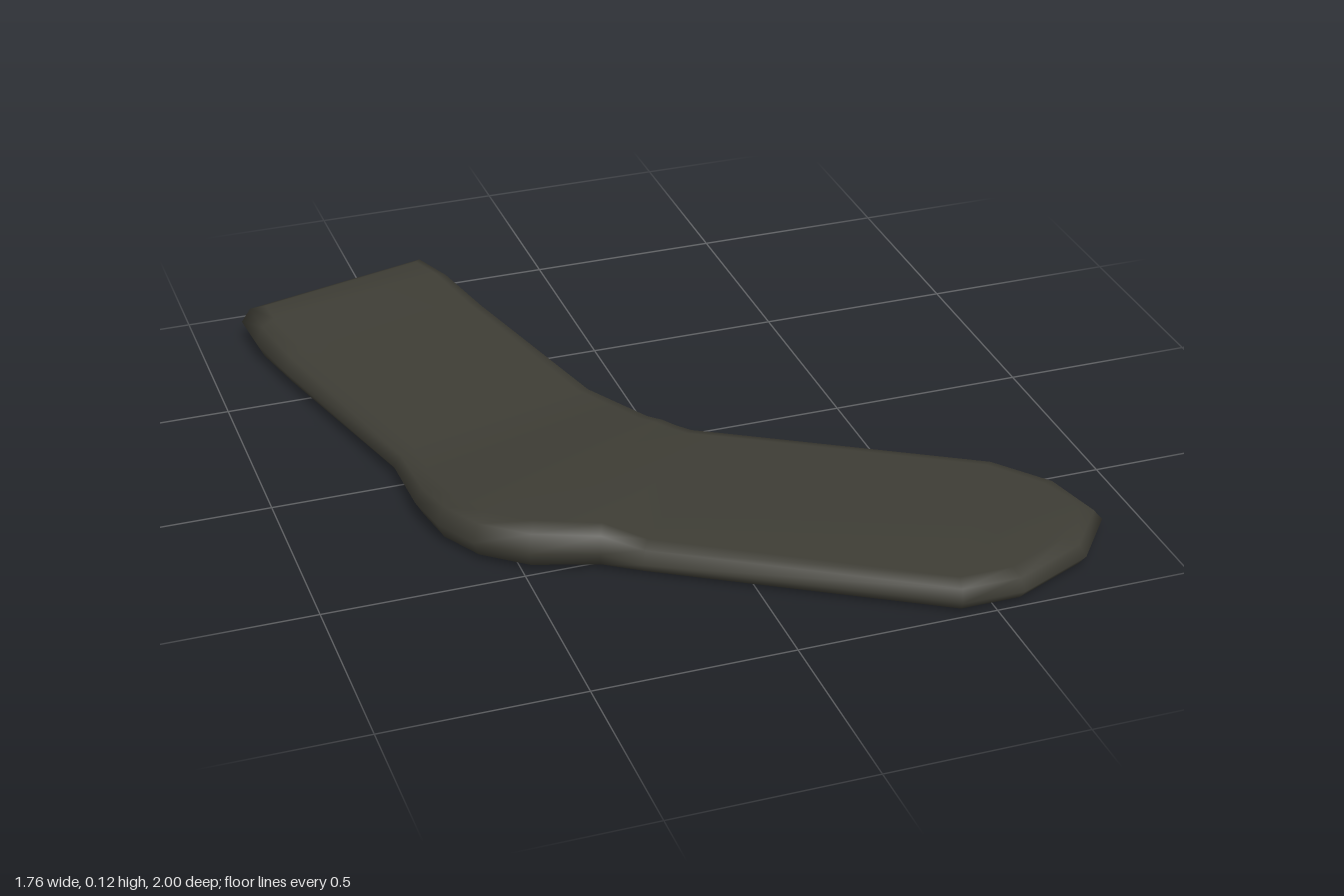
import * as THREE from 'three';

// Stations from cuff to toe: heel-side x, z, instep-side x, z, heel-side height, instep-side height
const STATIONS = [
  [-0.88, -0.86, -0.34, -1.00, 0.12, 0.12],
  [-0.87, -0.73, -0.29, -0.87, 0.12, 0.12],
  [-0.83, -0.57, -0.24, -0.70, 0.10, 0.10],
  [-0.68, -0.03, -0.10, -0.20, 0.075, 0.08],
  [-0.68, 0.17, -0.05, -0.12, 0.10, 0.075],
  [-0.66, 0.30, 0.00, -0.03, 0.12, 0.075],
  [-0.60, 0.41, 0.03, 0.00, 0.12, 0.075],
  [-0.49, 0.50, 0.055, 0.04, 0.12, 0.075],
  [-0.33, 0.55, 0.08, 0.07, 0.11, 0.075],
  [-0.24, 0.605, 0.14, 0.105, 0.08, 0.075],
  [0.41, 1.00, 0.73, 0.46, 0.075, 0.075],
  [0.57, 1.00, 0.84, 0.60, 0.075, 0.075],
  [0.77, 0.91, 0.88, 0.77, 0.075, 0.075],
];

// Rounded rim: inset from the outline and fraction of the local height
const RIM = [[0.055, 0], [0.02, 0.14], [0, 0.5], [0.02, 0.86], [0.055, 1]];

function sockGeometry() {
  const n = STATIONS.length, count = 2 * n;
  // Closed outline: down the heel side, back up the instep side
  const outline = [
    ...STATIONS.map(s => ({ p: new THREE.Vector2(s[0], s[1]), h: s[4] })),
    ...STATIONS.map(s => ({ p: new THREE.Vector2(s[2], s[3]), h: s[5] })).reverse(),
  ];
  const inward = (a, b) => new THREE.Vector2(b.y - a.y, a.x - b.x).normalize();
  const miters = outline.map(({ p }, i) => {
    const n1 = inward(outline[(i + count - 1) % count].p, p);
    const n2 = inward(p, outline[(i + 1) % count].p);
    return n1.clone().add(n2).divideScalar(1 + n1.dot(n2));
  });

  const positions = [], index = [];
  for (const [inset, f] of RIM) {
    outline.forEach(({ p, h }, i) => {
      positions.push(p.x + miters[i].x * inset, h * f, p.y + miters[i].y * inset);
    });
  }
  const quad = (a, b, c, d) => index.push(a, b, c, a, c, d);

  // Rim
  for (let r = 0; r < RIM.length - 1; r++) {
    for (let i = 0; i < count; i++) {
      const j = (i + 1) % count, lo = r * count, hi = lo + count;
      quad(lo + i, lo + j, hi + j, hi + i);
    }
  }
  // Top and bottom faces, strip by strip across the sock
  const top = (RIM.length - 1) * count;
  for (let k = 0; k < n - 1; k++) {
    const l = k, r = count - 1 - k;
    quad(top + l, top + l + 1, top + r - 1, top + r);
    quad(l, r, r - 1, l + 1);
  }

  const geometry = new THREE.BufferGeometry();
  geometry.setAttribute('position', new THREE.Float32BufferAttribute(positions, 3));
  geometry.setIndex(index);
  geometry.computeVertexNormals();
  return geometry;
}

export function createModel() {
  const group = new THREE.Group();
  group.name = 'sock';
  const fabric = new THREE.MeshStandardMaterial({ color: 0x3e3d35 });
  fabric.name = 'dark olive fabric';
  const body = new THREE.Mesh(sockGeometry(), fabric);
  body.name = 'sockBody';
  group.add(body);
  return group;
}
